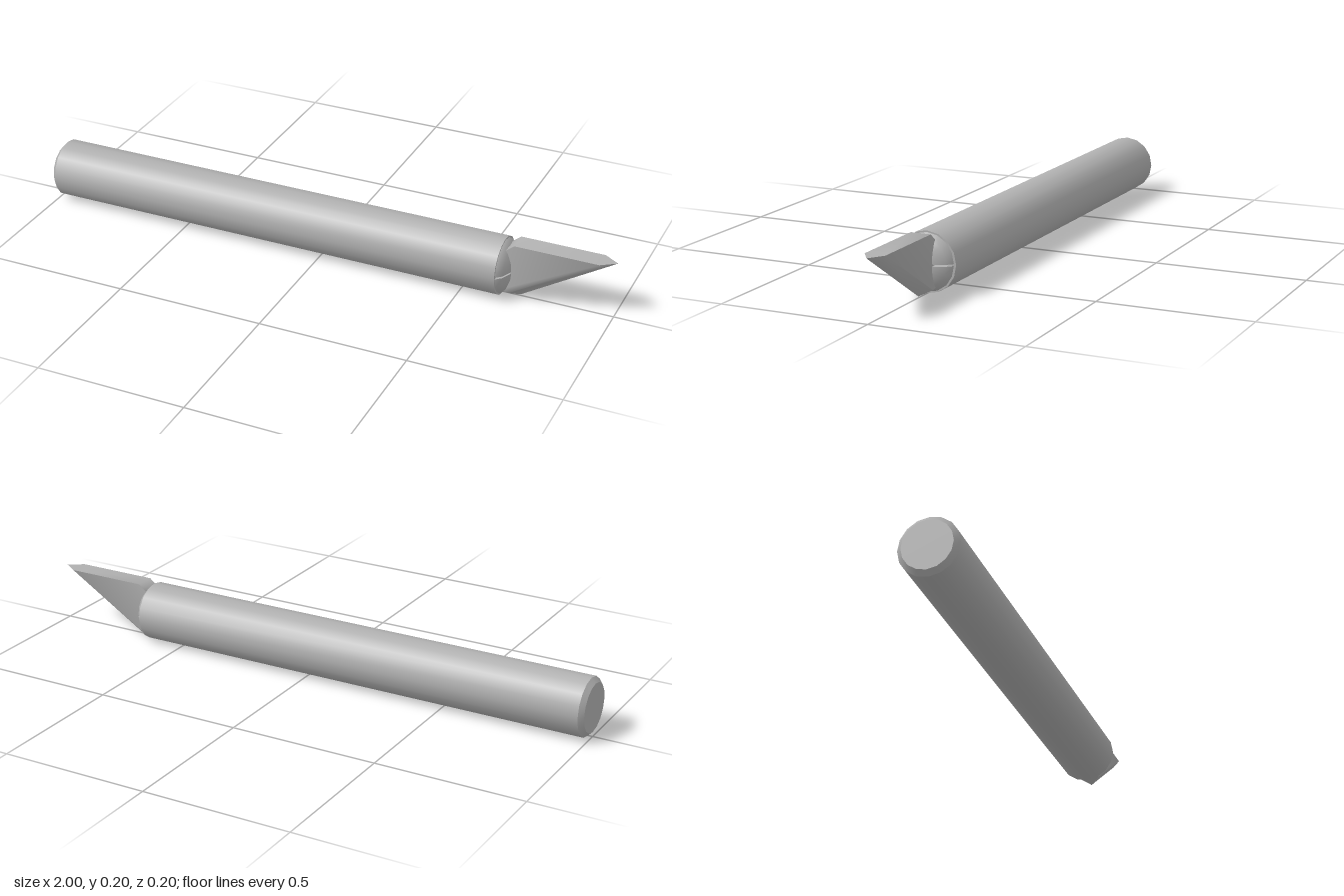
import * as THREE from 'three';
import { toCreasedNormals } from 'three/addons/utils/BufferGeometryUtils.js';

const AXIS_Y = 0.1;

export function createModel() {
  const model = new THREE.Group();
  model.name = 'craftKnife';
  const grey = new THREE.MeshStandardMaterial({ color: 0xb0b0b0 });
  grey.name = 'grey metal';

  const add = (name, geometry) => {
    const mesh = new THREE.Mesh(geometry, grey);
    mesh.name = name;
    model.add(mesh);
    return mesh;
  };
  const points = list => list.map(([r, h]) => new THREE.Vector2(r, h));
  // Turn a part made around y so that it lies along x at the handle's height
  const lay = geometry => geometry.rotateZ(-Math.PI / 2).translate(0, AXIS_Y, 0);

  // Handle with a chamfered back end
  const handle = new THREE.LatheGeometry(points([
    [0, -1], [0.082, -1], [0.098, -0.985], [0.098, 0.63], [0, 0.63],
  ]), 16);
  add('handle', lay(toCreasedNormals(handle, 0.6)));

  // Two domed jaws separated by a narrow slit
  const domeProfile = [[0.09, 0.625], [0.09, 0.632], [0.073, 0.65], [0.04, 0.664], [0, 0.669]];
  const capOutline = points([
    ...domeProfile, ...domeProfile.slice(0, -1).reverse().map(([r, h]) => [-r, h]),
  ]);
  ['lowerJaw', 'upperJaw'].forEach((name, i) => {
    const turn = i * Math.PI;
    const dome = new THREE.LatheGeometry(points(domeProfile), 8, 0, Math.PI);
    add(name, lay(dome.translate(0.003, 0, 0).rotateY(turn)));
    const cap = new THREE.ShapeGeometry(new THREE.Shape(capOutline));
    add(name + 'SlitFace', lay(cap.rotateY(-Math.PI / 2).translate(0.003, 0, 0).rotateY(turn)));
  });

  // Blade: flat spine on top, sides bevelled to a slanted cutting edge
  const half = 0.034;
  const outline = { A: [0.63, 0.165], B: [0.67, 0.198], C: [0.95, 0.198], D: [0.66, 0.022], E: [0.63, 0.028] };
  const corner = { T: [1, 0.198, 0], H: [0.69, 0.006, 0] };
  for (const [key, [x, y]] of Object.entries(outline)) {
    corner[key] = [x, y, half];
    corner[key.toLowerCase()] = [x, y, -half];
  }
  // Capitals lie on the front side, small letters on the back side
  const faces = ['EDCBA', 'abcde', 'DHTC', 'cTHd', 'BCcb', 'CTc', 'ABba', 'EAae', 'DEed', 'dHD'];
  const positions = [];
  for (const face of faces) {
    for (let i = 1; i < face.length - 1; i++) {
      positions.push(...corner[face[0]], ...corner[face[i]], ...corner[face[i + 1]]);
    }
  }
  const blade = new THREE.BufferGeometry();
  blade.setAttribute('position', new THREE.Float32BufferAttribute(positions, 3));
  add('blade', toCreasedNormals(blade, 1.1));

  return model;
}
